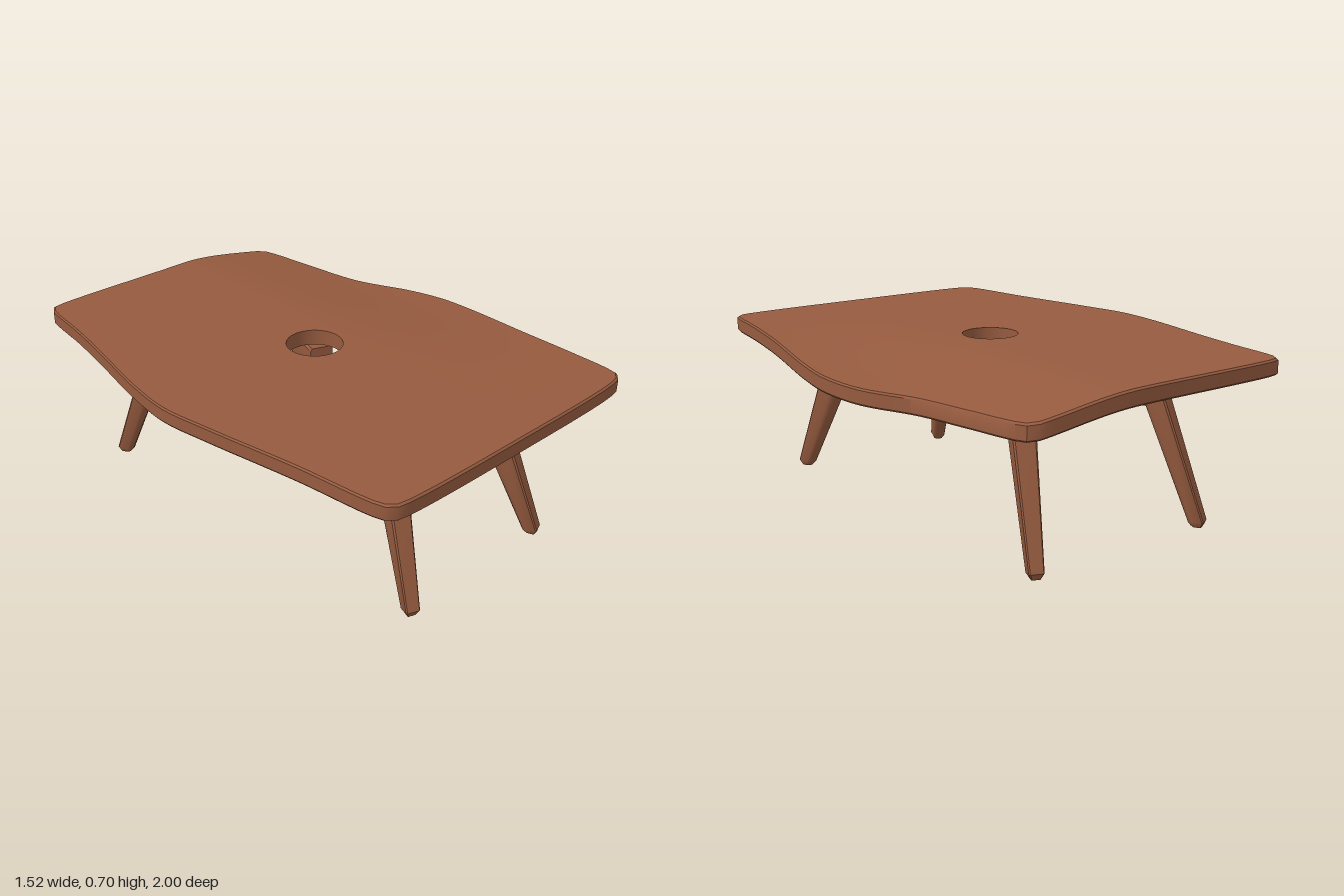
import * as THREE from 'three';
import { toCreasedNormals } from 'three/addons/utils/BufferGeometryUtils.js';

const wood = new THREE.MeshStandardMaterial({ color: 0x965b3f });
wood.name = 'brown wood';

const V = (x, y, z) => new THREE.Vector3(x, y, z);

// Skin a list of closed rings, optionally capping both ends
function loft(rings, capped) {
  const pos = [];
  const tri = (...pts) => pts.forEach((p) => pos.push(p.x, p.y, p.z));
  const n = rings[0].length;
  for (let i = 0; i < rings.length - 1; i++) {
    for (let j = 0; j < n; j++) {
      const k = (j + 1) % n;
      const a = rings[i][j], b = rings[i][k], c = rings[i + 1][k], d = rings[i + 1][j];
      tri(a, b, c);
      tri(a, c, d);
    }
  }
  if (capped) {
    const first = rings[0], last = rings[rings.length - 1];
    const mid = (ring) => ring.reduce((s, p) => s.add(p), V(0, 0, 0)).divideScalar(n);
    const m0 = mid(first), m1 = mid(last);
    for (let j = 0; j < n; j++) {
      const k = (j + 1) % n;
      tri(m0, first[k], first[j]);
      tri(m1, last[j], last[k]);
    }
  }
  const geo = new THREE.BufferGeometry();
  geo.setAttribute('position', new THREE.Float32BufferAttribute(pos, 3));
  return toCreasedNormals(geo, 0.6);
}

function addMesh(group, name, geo) {
  const mesh = new THREE.Mesh(geo, wood);
  mesh.name = name;
  group.add(mesh);
}

// Warped slab: the back right-hand corner of the slab (+x, -z) sags
function topHeight(x, z) {
  const s = THREE.MathUtils.smoothstep;
  return 0.683 - 0.008 * x + 0.008 * z - 0.075 * s(x, 0.1, 0.75) * s(-z, -1, 0.5);
}

// Outline of the slab as x, z pairs
const outline = [
  [-0.605, -0.96], [-0.59, -0.99], [-0.55, -1], [0, -1], [0.15, -1], [0.5, -0.975], [0.54, -0.965],
  [0.56, -0.93], [0.6, -0.68], [0.64, -0.44], [0.73, -0.2], [0.757, -0.02], [0.745, 0.15],
  [0.69, 0.5], [0.66, 0.75], [0.64, 0.93], [0.625, 0.97], [0.58, 0.987], [0, 1], [-0.57, 0.987],
  [-0.605, 0.975], [-0.625, 0.94], [-0.67, 0.6], [-0.735, 0.2], [-0.76, 0], [-0.74, -0.2],
  [-0.67, -0.55], [-0.635, -0.75],
];

function tableTop() {
  const curve = new THREE.CatmullRomCurve3(outline.map(([x, z]) => V(x, 0, z)), true);
  curve.arcLengthDivisions = 800;
  const edge = curve.getSpacedPoints(144).slice(0, 144);
  const cx = -0.02, holeR = 0.112;
  const ring = (f, drop) => edge.map((p) => {
    const a = Math.atan2(p.z, p.x - cx);
    const x = THREE.MathUtils.lerp(cx + holeR * Math.cos(a), p.x, f);
    const z = THREE.MathUtils.lerp(holeR * Math.sin(a), p.z, f);
    return V(x, topHeight(x, z) - drop, z);
  });
  const rings = [], steps = 8, thick = 0.064;
  // Upper face outwards, small bevel, rim, lower face inwards, hole wall
  for (let i = 0; i <= steps; i++) rings.push(ring((i / steps) * 0.992, 0));
  rings.push(ring(1, 0.007), ring(1, thick - 0.007));
  for (let i = steps; i >= 0; i--) rings.push(ring((i / steps) * 0.992, thick));
  rings.push(rings[0]);
  return loft(rings, false);
}

// Cross-section: nearly square along the top, well rounded underneath
const half = [[1, -0.5], [1, 0.85], [0.85, 1]];
const lower = [[0.3, -1], [0.6, -0.95], [0.87, -0.76]];
const right = [...lower, ...half];
const section = [...right, ...right.map(([a, b]) => [-a, b]).reverse()];

// Horizontal arm and splayed leg in one bent limb, from inner end to foot
function limb({ start, foot, armTop, armLow, kneeTop, kneeLow, outer, inner }) {
  const dir = V(foot[0] - start[0], 0, foot[1] - start[1]);
  const L = dir.length();
  dir.normalize();
  const side = V(0, 1, 0).cross(dir);
  // Each station: upper/outer point, lower/inner point, width
  const stations = [
    [[0, armTop], [0, armLow], 0.096],
    [[0.012, armTop], [0.012, armLow - 0.003], 0.102],
    [[outer * L - 0.05, kneeTop], [inner * L - 0.03, kneeLow], 0.1],
    [[outer * L - 0.012, kneeTop - 0.003], [inner * L, kneeLow], 0.094],
    [[outer * L, kneeTop - 0.025], [inner * L + 0.008, kneeLow - 0.02], 0.092],
    [[L + 0.031, 0.025], [L - 0.031, 0.015], 0.056],
    [[L + 0.025, 0.01], [L - 0.022, 0.005], 0.042],
    [[L + 0.02, 0], [L - 0.017, 0], 0.034],
  ];
  const rings = stations.map(([up, low, width]) => section.map(([a, b]) => {
    const t = (b + 1) / 2;
    const u = THREE.MathUtils.lerp(low[0], up[0], t);
    const p = V(start[0], THREE.MathUtils.lerp(low[1], up[1], t), start[1]);
    return p.addScaledVector(dir, u).addScaledVector(side, (a * width) / 2);
  }));
  return loft(rings, true);
}

export function createModel() {
  const group = new THREE.Group();
  group.name = 'coffee table';
  addMesh(group, 'tableTop', tableTop());

  const front = { armTop: 0.6, armLow: 0.453, kneeTop: 0.622, kneeLow: 0.44, outer: 0.77, inner: 0.69 };
  const back = { armTop: 0.595, armLow: 0.453, kneeTop: 0.588, kneeLow: 0.46, outer: 0.8, inner: 0.73 };
  const limbs = {
    frontLeftLeg: { ...front, start: [0.085, 0.11], foot: [0.39, 0.82] },
    frontRightLeg: { ...front, start: [-0.052, 0.11], foot: [-0.32, 0.82] },
    backLeftLeg: { ...back, start: [0.09, -0.075], foot: [0.385, -0.79], kneeTop: 0.565 },
    backRightLeg: { ...back, start: [-0.055, -0.082], foot: [-0.43, -0.78] },
  };
  for (const [name, spec] of Object.entries(limbs)) addMesh(group, name, limb(spec));
  return group;
}
